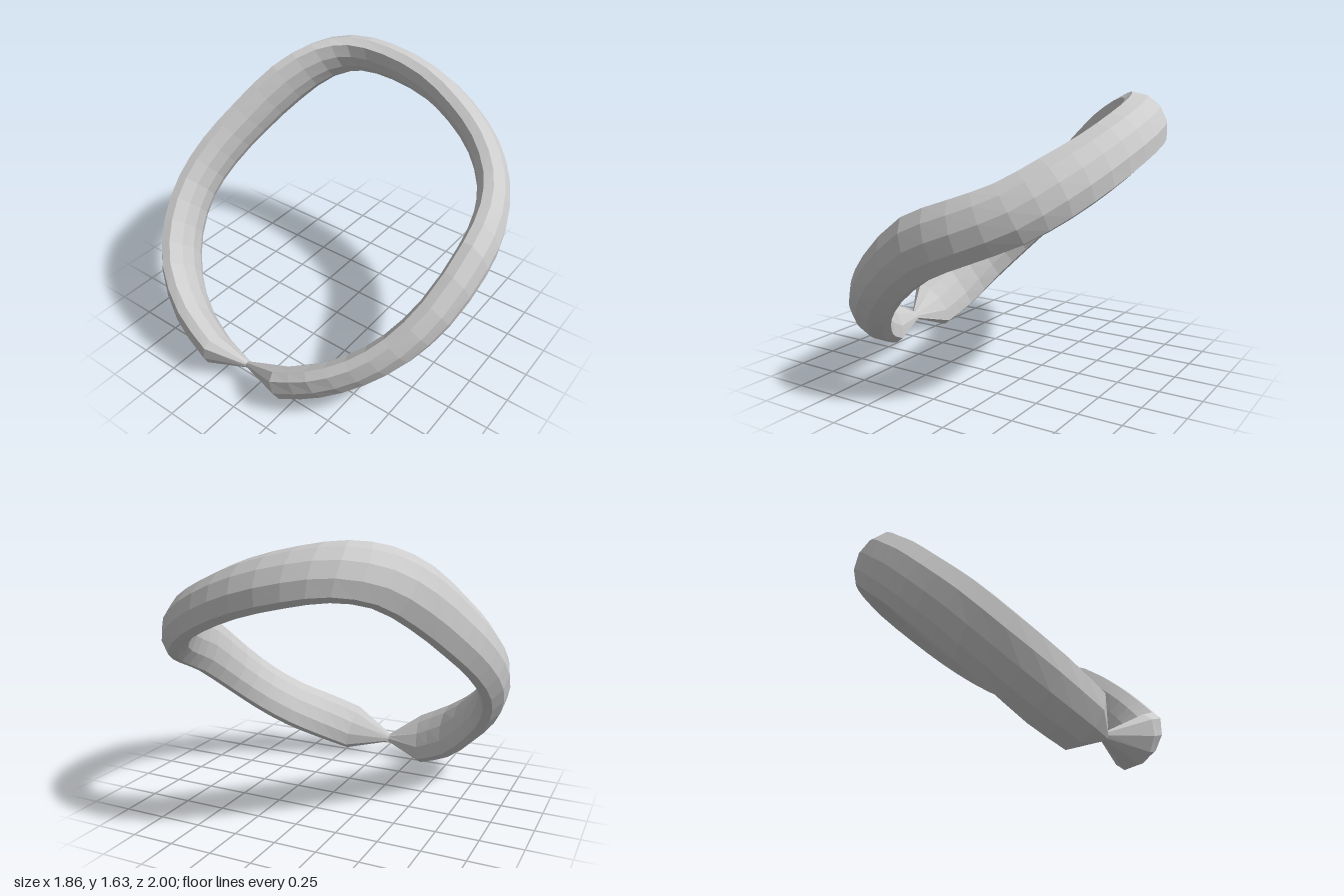
import * as THREE from 'three';

// Matching stations along the two rims of the band, running from the pinch round the front, right and back
const upperRim = [
  [-0.88, 0.28, 0.2], [-0.82, 0.36, 0.4], [-0.7, 0.46, 0.59], [-0.55, 0.6, 0.74], [-0.35, 0.79, 0.85],
  [-0.05, 1.03, 0.9], [0.2, 1.13, 0.86], [0.4, 1.21, 0.76], [0.55, 1.32, 0.59], [0.65, 1.42, 0.37],
  [0.7, 1.52, 0.12], [0.68, 1.59, -0.15], [0.6, 1.62, -0.37], [0.46, 1.59, -0.53], [0.25, 1.48, -0.67],
  [0, 1.28, -0.79], [-0.2, 1.12, -0.86], [-0.4, 0.94, -0.89], [-0.6, 0.75, -0.84], [-0.76, 0.56, -0.72],
  [-0.87, 0.39, -0.5], [-0.91, 0.27, -0.27],
];
const lowerRim = [
  [-0.68, 0.05, 0.22], [-0.59, 0.13, 0.4], [-0.46, 0.24, 0.58], [-0.32, 0.38, 0.74], [-0.15, 0.54, 0.85],
  [0.08, 0.71, 0.9], [0.3, 0.81, 0.87], [0.57, 0.93, 0.75], [0.74, 1.05, 0.59], [0.85, 1.17, 0.37],
  [0.9, 1.27, 0.12], [0.89, 1.34, -0.15], [0.82, 1.37, -0.37], [0.68, 1.33, -0.54], [0.48, 1.2, -0.67],
  [0.25, 1.02, -0.79], [0.03, 0.85, -0.87], [-0.17, 0.68, -0.9], [-0.36, 0.49, -0.85], [-0.52, 0.3, -0.72],
  [-0.64, 0.11, -0.52], [-0.7, 0.02, -0.32],
];

// Cross-section: [position across the width, offset outward], rounded outside and gently rounded inside
const section = [
  [0.5, 0.028], [0.28, 0.085], [0, 0.105], [-0.28, 0.085], [-0.5, 0.028],
  [-0.5, -0.028], [-0.28, -0.07], [0, -0.085], [0.28, -0.07], [0.5, -0.028],
];

const toCurve = (pts) => new THREE.CatmullRomCurve3(pts.map((p) => new THREE.Vector3(...p)));

function bandGeometry(segments) {
  const upper = toCurve(upperRim), lower = toCurve(lowerRim);
  const rings = [];
  for (let i = 0; i <= segments; i++) {
    rings.push({ up: upper.getPoint(i / segments), low: lower.getPoint(i / segments), depth: 1 });
  }
  // Pinched ring where the two ends meet
  rings.push({ up: new THREE.Vector3(-0.8, 0.145, -0.07), low: new THREE.Vector3(-0.76, 0.105, -0.07), depth: 0.2 });

  const n = rings.length, m = section.length;
  rings.forEach((r) => { r.mid = r.up.clone().add(r.low).multiplyScalar(0.5); });
  const positions = [], index = [];
  rings.forEach((r, i) => {
    const tangent = rings[(i + 1) % n].mid.clone().sub(rings[(i + n - 1) % n].mid);
    const width = r.up.clone().sub(r.low);
    const out = tangent.cross(width).normalize();
    section.forEach(([u, v], k) => {
      const p = r.mid.clone().addScaledVector(width, u).addScaledVector(out, v * r.depth);
      positions.push(p.x, p.y, p.z);
      const j = (i + 1) % n, l = (k + 1) % m;
      const a = i * m + k, b = i * m + l, c = j * m + l, d = j * m + k;
      index.push(a, b, c, a, c, d);
    });
  });
  const geometry = new THREE.BufferGeometry();
  geometry.setAttribute('position', new THREE.Float32BufferAttribute(positions, 3));
  geometry.setIndex(index);
  geometry.computeVertexNormals();
  geometry.computeBoundingBox();
  geometry.translate(0, -geometry.boundingBox.min.y, 0);
  return geometry;
}

export function createModel() {
  const group = new THREE.Group();
  const material = new THREE.MeshStandardMaterial({ color: 0xcccccc, flatShading: true });
  const band = new THREE.Mesh(bandGeometry(42), material);
  band.name = 'band';
  group.add(band);
  return group;
}
